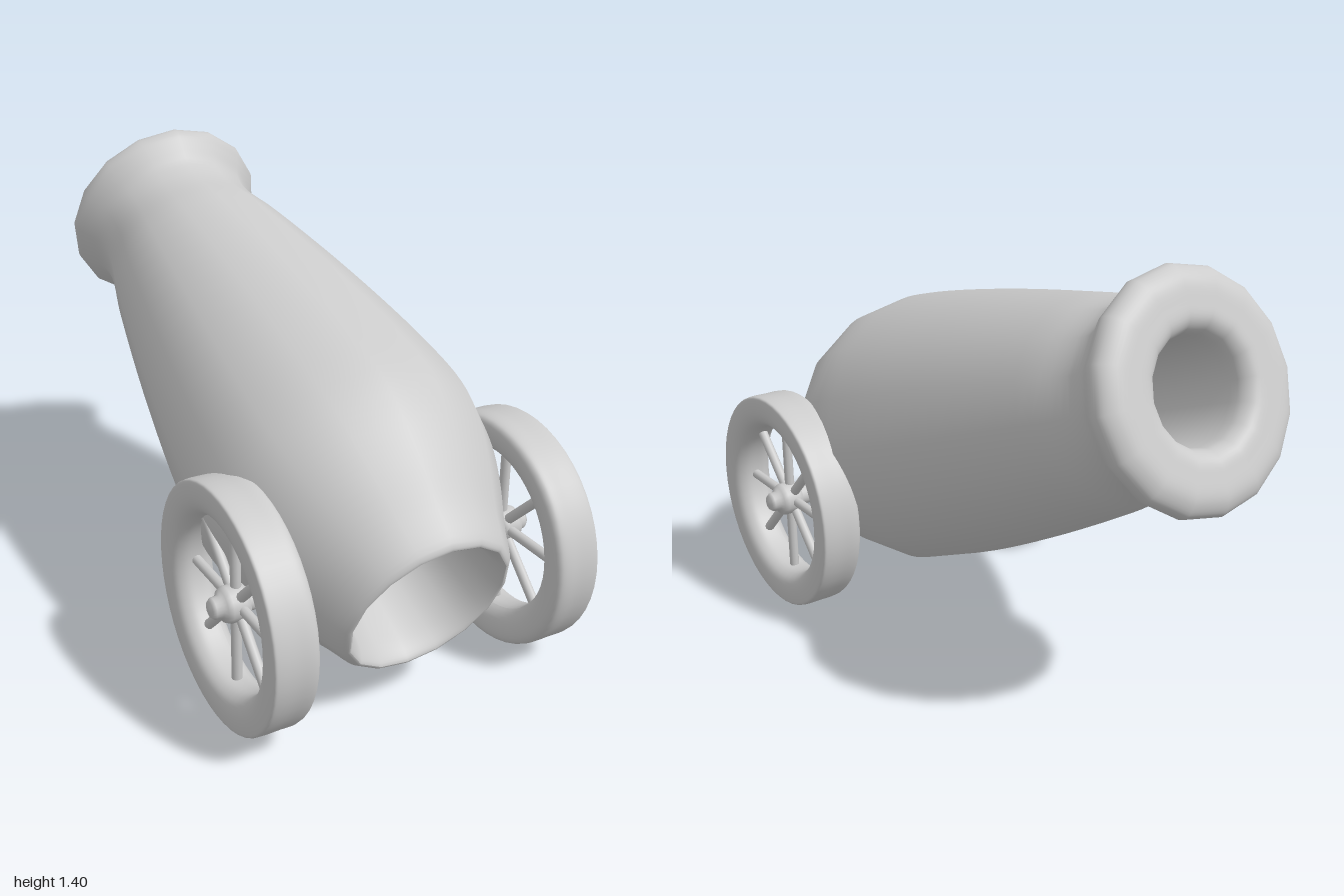
import * as THREE from 'three';

const material = new THREE.MeshStandardMaterial({ color: 0xcccccc });

function addMesh(parent, geometry, name) {
  const mesh = new THREE.Mesh(geometry, material);
  mesh.name = name;
  parent.add(mesh);
  return mesh;
}

// Revolves a smooth closed profile of [radius, height] pairs
function revolve(pairs, samples, sides) {
  const points = pairs.map(([r, h]) => new THREE.Vector3(r, h, 0));
  const curve = new THREE.CatmullRomCurve3(points, true, 'centripetal');
  const profile = curve.getPoints(samples).map((p) => new THREE.Vector2(p.x, p.y));
  return new THREE.LatheGeometry(profile, sides);
}

function createBarrel() {
  const barrel = new THREE.Group();
  barrel.name = 'barrel';
  // Outside from breech to muzzle, over the lip, then back down the bore
  const profile = [
    [0.25, 0.0], [0.268, 0.01], [0.315, 0.11], [0.385, 0.245], [0.435, 0.37],
    [0.46, 0.5], [0.45, 0.72], [0.398, 1.12], [0.325, 1.53], [0.287, 1.7],
    [0.293, 1.77], [0.325, 1.825], [0.345, 1.865], [0.338, 1.9], [0.3, 1.926],
    [0.24, 1.93], [0.19, 1.925], [0.163, 1.9], [0.153, 1.85],
    [0.165, 1.2], [0.195, 0.4], [0.215, 0.12], [0.233, 0.025],
  ];
  addMesh(barrel, revolve(profile, 110, 16), 'barrelShell');
  barrel.position.set(-0.02, 0.39, 0.905);
  barrel.rotation.x = -(Math.PI / 2 - 0.3727);
  return barrel;
}

// Wheel built around the y axis, with its outer face towards +y
function createWheel(name) {
  const wheel = new THREE.Group();
  wheel.name = name;
  const rim = [
    [0.262, -0.035], [0.285, -0.06], [0.315, -0.071], [0.348, -0.071], [0.364, -0.062],
    [0.37, -0.045], [0.37, 0.0], [0.37, 0.055], [0.367, 0.068], [0.355, 0.072],
    [0.31, 0.072], [0.28, 0.06], [0.262, 0.035], [0.258, 0.0],
  ];
  // Listed so that the outside of the rim runs upwards
  addMesh(wheel, revolve(rim, 56, 48), 'rim');

  // Hub with a rounded cap, reaching inwards to the barrel
  const hub = [
    [0, -0.12], [0.035, -0.12], [0.035, -0.03], [0.05, -0.025], [0.055, -0.01],
    [0.055, 0.03], [0.048, 0.045], [0.034, 0.052], [0.032, 0.072], [0.024, 0.082], [0, 0.085],
  ].map(([r, h]) => new THREE.Vector2(r, h));
  addMesh(wheel, new THREE.LatheGeometry(hub, 20), 'hub');

  for (let i = 0; i < 8; i++) {
    const angle = (i * Math.PI) / 4;
    const spoke = addMesh(wheel, new THREE.CylinderGeometry(0.016, 0.016, 0.24, 10, 1, true), 'spoke');
    spoke.position.set(Math.cos(angle) * 0.155, 0, Math.sin(angle) * 0.155);
    spoke.rotation.set(0, -angle, -Math.PI / 2);
  }
  wheel.position.y = 0.372;
  wheel.position.z = 0.595;
  return wheel;
}

export function createModel() {
  const cannon = new THREE.Group();
  cannon.name = 'cannon';
  cannon.add(createBarrel());
  for (const side of [1, -1]) {
    const wheel = createWheel(side > 0 ? 'leftWheel' : 'rightWheel');
    wheel.position.x = side * 0.463;
    wheel.rotation.z = (-side * Math.PI) / 2;
    cannon.add(wheel);
  }
  return cannon;
}
